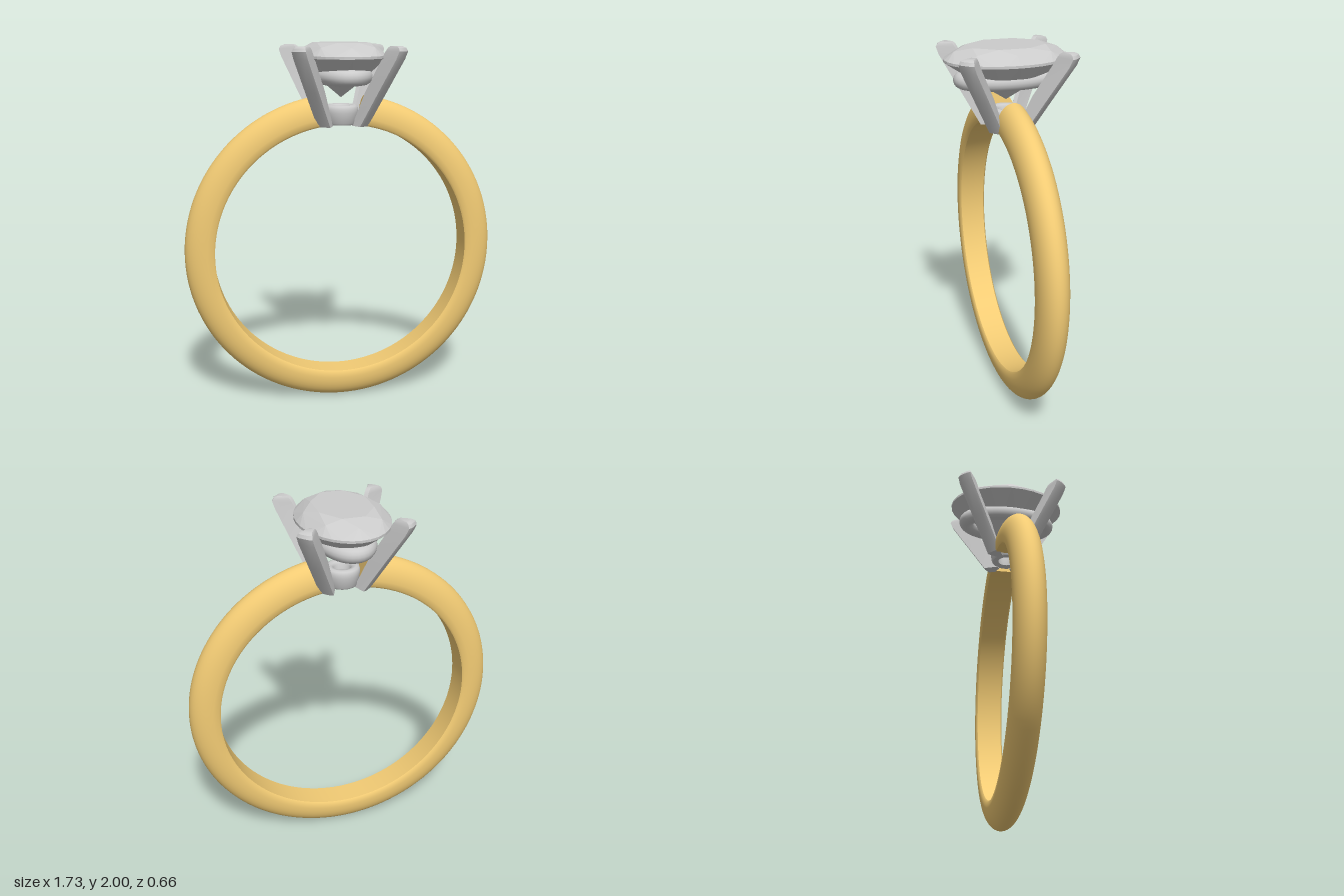
import * as THREE from 'three';
import { toCreasedNormals } from 'three/addons/utils/BufferGeometryUtils.js';
import { ConvexGeometry } from 'three/addons/geometries/ConvexGeometry.js';

const V = (x, y, z) => new THREE.Vector3(x, y, z);

// Skins a row of equal-sized convex cross-sections and caps both ends.
function loft(rings, crease) {
  const pos = [];
  const tri = (...pts) => pts.forEach((p) => pos.push(p.x, p.y, p.z));
  const n = rings[0].length;
  for (let k = 0; k < rings.length - 1; k++) {
    for (let i = 0; i < n; i++) {
      const j = (i + 1) % n;
      const a = rings[k][i], b = rings[k][j], c = rings[k + 1][j], d = rings[k + 1][i];
      tri(a, b, c);
      tri(a, c, d);
    }
  }
  const first = rings[0], last = rings[rings.length - 1];
  for (let i = 1; i < n - 1; i++) {
    tri(first[0], first[i + 1], first[i]);
    tri(last[0], last[i], last[i + 1]);
  }
  const g = new THREE.BufferGeometry();
  g.setAttribute('position', new THREE.Float32BufferAttribute(pos, 3));
  return toCreasedNormals(g, crease);
}

// Band: domed outside, flat inside, slightly narrower at the bottom, open at the setting.
function bandGeometry() {
  const centre = 0.865, gap = 0.15, steps = 120, rings = [];
  for (let k = 0; k <= steps; k++) {
    const a = gap + (k / steps) * (2 * Math.PI - 2 * gap);
    const w = 0.081 + 0.004 * Math.cos(a);
    const section = [];
    for (let i = 0; i <= 18; i++) {
      const t = (i / 18) * Math.PI;
      section.push([0.745 + 0.12 * Math.sin(t), -w * Math.cos(t)]);
    }
    section.push([0.715, w * 0.98], [0.705, w * 0.88], [0.705, -w * 0.88], [0.715, -w * 0.98]);
    rings.push(section.map(([r, z]) => V(r * Math.sin(a), centre + r * Math.cos(a), z)));
  }
  return loft(rings, 0.7);
}

// Prong: a wedge leaning outward along the diagonal, with a rounded tip.
function prongGeometry(sx, sz) {
  // height, outer face x and z, half width, depth toward the stone
  const levels = [
    [1.56, 0.11, 0.088, 0.042, 0.07],
    [1.75, 0.188, 0.184, 0.044, 0.1],
    [1.92, 0.258, 0.271, 0.045, 0.105],
    [1.96, 0.27, 0.284, 0.044, 0.1],
    [1.977, 0.265, 0.279, 0.038, 0.08],
    [1.985, 0.253, 0.267, 0.026, 0.05],
  ];
  const s = Math.SQRT1_2;
  const rings = levels.map(([y, x, z, w, depth]) => {
    const pts = [[-w, 0], [-w * 0.6, 0.008], [w * 0.6, 0.008], [w, 0], [0.012, -depth], [-0.012, -depth]]
      .map(([t, d]) => V(sx * (x + s * (d + t)), y, sz * (z + s * (d - t))));
    return sx * sz < 0 ? pts.reverse() : pts;
  });
  return loft(rings, 0.6);
}

// Oval brilliant: table, crown, girdle, pavilion and culet as one faceted hull.
function stoneGeometry() {
  const pts = [V(0, 1.71, 0)];
  const ring = (n, y, scale, shift) => {
    for (let i = 0; i < n; i++) {
      const a = ((i + shift) / n) * 2 * Math.PI;
      pts.push(V(0.24 * scale * Math.cos(a), y, 0.33 * scale * Math.sin(a)));
    }
  };
  ring(8, 2.0, 0.64, 0.5);
  ring(8, 1.977, 0.84, 0);
  ring(32, 1.935, 1, 0);
  ring(32, 1.922, 1, 0);
  ring(8, 1.79, 0.41, 0.5);
  return new ConvexGeometry(pts);
}

// Closed oval path for the gallery rail.
class Oval extends THREE.Curve {
  getPoint(t, target = V(0, 0, 0)) {
    const a = t * 2 * Math.PI;
    return target.set(0.12 * Math.cos(a), 1.825, 0.24 * Math.sin(a));
  }
}

export function createModel() {
  const model = new THREE.Group();
  const gold = new THREE.MeshStandardMaterial({ color: 0xf2cb74 });
  const grey = new THREE.MeshStandardMaterial({ color: 0xcccccc });
  const facet = new THREE.MeshStandardMaterial({ color: 0xcccccc, flatShading: true });
  const add = (name, geometry, material, parent = model) => {
    const mesh = new THREE.Mesh(geometry, material);
    mesh.name = name;
    parent.add(mesh);
  };

  add('band', bandGeometry(), gold);
  add('stone', stoneGeometry(), facet);

  // Setting: four prongs, gallery rail and base collar
  const setting = new THREE.Group();
  setting.name = 'setting';
  model.add(setting);
  for (const sx of [1, -1]) {
    for (const sz of [1, -1]) {
      add(`${sz > 0 ? 'front' : 'back'}${sx > 0 ? 'Left' : 'Right'}Prong`, prongGeometry(sx, sz), grey, setting);
    }
  }
  add('galleryRail', new THREE.TubeGeometry(new Oval(), 64, 0.042, 16, true), grey, setting);

  const collar = [
    [0.045, 1.57], [0.078, 1.565], [0.085, 1.575], [0.093, 1.63], [0.094, 1.65],
    [0.088, 1.666], [0.075, 1.672], [0.055, 1.668], [0.045, 1.655], [0.045, 1.57],
  ].map(([r, y]) => new THREE.Vector2(r, y));
  add('baseCollar', toCreasedNormals(new THREE.LatheGeometry(collar, 40), 0.8), grey, setting);

  return model;
}
